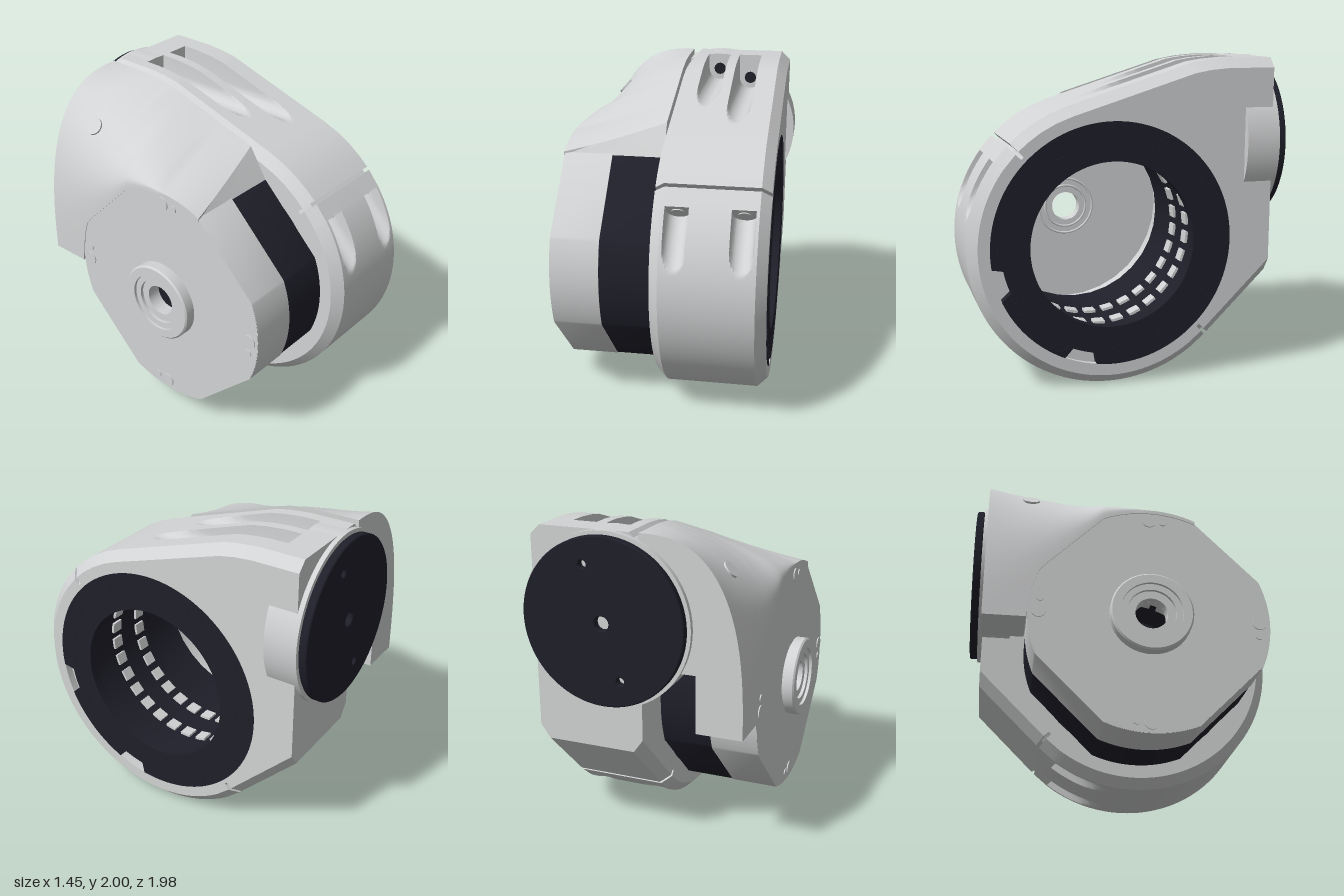
import * as THREE from 'three';
import { toCreasedNormals } from 'three/addons/utils/BufferGeometryUtils.js';

const CY = 0.888, CZ = 0.107;            // axis of the round drive
const R = 0.884;                         // housing radius
const FX = 0.19, FY = 1.47;              // axis of the rear flange
const rad = THREE.MathUtils.degToRad;

const material = (name, color) =>
  Object.assign(new THREE.MeshStandardMaterial({ color, side: THREE.DoubleSide }), { name });

export function createModel() {
  const root = new THREE.Group();
  root.name = 'rotaryJoint';
  const casing = material('casingGrey', 0xd2d3d4);
  const dark = material('darkAnodised', 0x1f1f2a);

  const add = (name, geo, mat, x = 0, y = 0, z = 0) => {
    const m = new THREE.Mesh(geo, mat);
    m.name = name;
    m.position.set(x, y, z);
    root.add(m);
    return m;
  };

  // Skin a row of closed rings; capped ends are triangulated in the x-y plane
  function loft(rings, capped) {
    const n = rings[0].length, idx = [];
    for (let i = 0; i < rings.length - 1; i++) for (let j = 0; j < n; j++) {
      const a = i * n + j, b = i * n + (j + 1) % n;
      idx.push(a, b, a + n, b, b + n, a + n);
    }
    if (capped) [0, rings.length - 1].forEach((r, end) => {
      const flat = rings[r].map(p => new THREE.Vector2(p[0], p[1]));
      for (const [a, b, c] of THREE.ShapeUtils.triangulateShape(flat, [])) {
        const o = r * n;
        idx.push(o + a, o + (end ? c : b), o + (end ? b : c));
      }
    });
    const g = new THREE.BufferGeometry();
    g.setAttribute('position', new THREE.Float32BufferAttribute(rings.flat(2), 3));
    g.setIndex(idx);
    return toCreasedNormals(g, 0.5);
  }

  // Shapes drawn with X = -z are turned so that their depth runs along +x
  const alongX = (shape, depth, segs = 48) => toCreasedNormals(
    new THREE.ExtrudeGeometry(shape, { depth, bevelEnabled: false, curveSegments: segs }).rotateY(Math.PI / 2), 0.5);
  const hole = (shape, r, x = 0, y = 0) => {
    shape.holes.push(new THREE.Path().absarc(x, y, r, 0, Math.PI * 2, true));
    return shape;
  };
  const rodX = (r, len) => new THREE.CylinderGeometry(r, r, len, 24).rotateZ(Math.PI / 2);

  // ---- Main housing: side profile swept across x, with slots and pockets cut in
  const slots = [[0.19, 0.075, 1.9], [0.405, 0.075, 1.843]];
  const pockets = [[0.13, 0.07, 0.81], [0.52, 0.07, 0.81]];
  const dip = (list, x) => {
    for (const [c, r, top] of list)
      if (Math.abs(x - c) <= r + 1e-6) return top - Math.sqrt(Math.max(0, r * r - (x - c) ** 2));
    return 9;
  };
  const slopeY = (z, r) => CY + (r - 0.301 * (z - CZ)) / 0.954;
  const topY = (z, d = 0) => z <= -0.62 ? 2 - d : z <= -0.5 ? 1.99 - d - (z + 0.5) * 0.083 :
    z < -0.4 ? 1.971 - d - (z + 0.4) * 0.19 : slopeY(z, R - d);

  function profile(x) {
    const d = x < 0.04 ? 0.04 - x : x > 0.61 ? x - 0.61 : 0;
    const r = R - d, floor = dip(slots, x), pf = dip(pockets, x), pts = [];
    pts.push([-0.91, topY(-0.91, d)], [-0.73, topY(-0.73, d)]);
    for (const z of [-0.73, -0.62, -0.5, -0.4]) pts.push([z, Math.min(topY(z, d), floor)]);
    for (let i = 0; i <= 34; i++) {
      const z = -0.37 + i * 0.02;
      pts.push([z, Math.min(topY(z, d), floor)]);
    }
    const polar = (deg, rr, cut) => {
      let n = rr * Math.cos(rad(deg - 45));
      const s = rr * Math.sin(rad(45 - deg));
      if (cut) n = Math.sign(n) * Math.min(Math.abs(n), pf);
      pts.push([CZ + (n + s) * Math.SQRT1_2, CY + (n - s) * Math.SQRT1_2]);
    };
    [72.5, 65, 58, 51.5, 45.8].forEach(a => polar(a, r));
    polar(45.8, r - 0.045); polar(44.2, r - 0.045);          // clamp seam
    polar(44.2, r); polar(36.5, r);
    for (let i = 0; i <= 130; i++) polar(36.5 - i * 163 / 130, r, true);
    polar(-126.5, r); polar(-134.2, r);
    polar(-134.2, r - 0.045); polar(-135.8, r - 0.045);
    polar(-135.8, r);
    pts.push([-0.91, CZ + CY + 0.91 - r * Math.SQRT2]);
    return pts;
  }
  const xs = [-0.02, 0.04, 0.61, 0.67];
  for (const [c, r] of [...slots, ...pockets]) {
    xs.push(c - r - 0.001, c + r + 0.001);
    for (let i = 0; i <= 12; i++) xs.push(c - r * Math.cos(i * Math.PI / 12));
  }
  xs.sort((a, b) => a - b);
  add('mainHousing', loft(xs.map(x => profile(x).map(([z, y]) => [x, y, z]))), casing);
  for (const [x, r] of [[-0.02, 0.69], [0.67, 0.75]]) {
    const s = new THREE.Shape(profile(x).map(([z, y]) => new THREE.Vector2(-z, y)));
    const g = new THREE.ShapeGeometry(hole(s, r, -CZ, CY), 48).rotateY(Math.PI / 2);
    add('housingSide', g, casing, x);
  }
  // Bolts in the top slots and in the clamp pockets
  for (const [x, , y] of slots)
    add('slotBolt', new THREE.CylinderGeometry(0.04, 0.04, 0.008, 12).rotateX(Math.PI / 2), dark, x, y, -0.729);
  for (const [x, , n0] of pockets) for (const n of [n0, -n0]) {
    const s = 0.13, k = Math.SQRT1_2;
    add('clampBolt', new THREE.CylinderGeometry(0.038, 0.038, 0.014, 20).rotateX(rad(135)), casing,
      x, CY + (n - s) * k, CZ + (n + s) * k);
  }

  // ---- Round drive body: circle with four diagonal flats
  const flatted = (r) => {
    const s = new THREE.Shape();
    for (let q = 0; q < 4; q++) s.absarc(0, 0, r, rad(q * 90 - 22.5), rad(q * 90 + 22.5), false);
    s.closePath();
    return s;
  };
  add('motorBand', alongX(hole(flatted(0.742), 0.6), 0.33, 16), dark, -0.34, CY, CZ);
  add('endCap', alongX(hole(flatted(0.747), 0.68), 0.3, 16), casing, -0.64, CY, CZ);
  add('endWall', alongX(hole(flatted(0.745), 0.1), 0.025, 16), casing, -0.642, CY, CZ);

  // Hollow bore with two rows of small teeth
  add('innerBore', new THREE.CylinderGeometry(0.6, 0.6, 0.96, 64, 1, true).rotateZ(Math.PI / 2), dark, 0.14, CY, CZ);
  for (const x of [0.06, 0.3]) for (let i = 0; i < 30; i++) {
    const a = i * Math.PI / 15;
    const b = add('boreTooth', new THREE.BoxGeometry(0.08, 0.02, 0.075), casing,
      x, CY + 0.592 * Math.cos(a), CZ + 0.592 * Math.sin(a));
    b.rotation.x = a;
  }
  // Stepped hub around the through hole
  const hubProfile = [[0.1, -0.6], [0.1, -0.69], [0.15, -0.69], [0.15, -0.71], [0.19, -0.71], [0.19, -0.728],
    [0.245, -0.728], [0.255, -0.718], [0.255, -0.655], [0.23, -0.655], [0.23, -0.64]];
  const hub = new THREE.LatheGeometry(hubProfile.map(p => new THREE.Vector2(...p)), 48).rotateZ(-Math.PI / 2);
  add('hub', toCreasedNormals(hub, 0.5), casing, 0, CY, CZ);
  for (const r of [0.15, 0.2])
    add('innerHubRing', new THREE.TorusGeometry(r, 0.008, 8, 48).rotateY(Math.PI / 2), casing, -0.615, CY, CZ);
  for (let i = 0; i < 4; i++) for (const [off, r] of [[0, 0.045], [0.13, 0.024]]) {
    const a = i * Math.PI / 2 + off;
    add('capBolt', rodX(r, 0.02), casing, -0.639, CY + 0.68 * Math.cos(a), CZ + 0.68 * Math.sin(a));
  }

  // ---- Output ring with two notches and a bolt circle
  const ring = new THREE.Shape();
  for (let a = 0; a < 360; a += 2) {
    const inNotch = (a >= 338 && a <= 350) || (a >= 280 && a <= 292);
    const r = inNotch ? 0.68 : 0.752;
    const x = -r * Math.cos(rad(a)), y = r * Math.sin(rad(a));
    a ? ring.lineTo(x, y) : ring.moveTo(x, y);
  }
  ring.closePath();
  add('outputRing', alongX(hole(ring, 0.512), 0.061), dark, 0.61, CY, CZ);
  add('ringSeat', new THREE.RingGeometry(0.6, 0.76, 64).rotateY(Math.PI / 2), casing, 0.612, CY, CZ);
  for (let i = 0; i < 24; i++) {
    const big = i % 2 === 0, a = i * Math.PI / 12;
    if (!big && i % 4 === 3) continue;
    const y = CY + 0.68 * Math.sin(a), z = CZ + 0.68 * Math.cos(a);
    add('ringBolt', rodX(big ? 0.035 : 0.04, 0.01), dark, 0.668, y, z);
    if (big) add('boltCollar', new THREE.TorusGeometry(0.055, 0.004, 6, 24).rotateY(Math.PI / 2), dark, 0.669, y, z);
  }

  // ---- Rear flange on its boss
  add('flangeBoss', new THREE.CylinderGeometry(0.533, 0.533, 0.21, 64).rotateX(Math.PI / 2), casing, FX, FY, -0.835);
  const disc = hole(new THREE.Shape().absarc(0, 0, 0.505, 0, Math.PI * 2, false), 0.05);
  for (const k of [1, -1]) hole(disc, 0.03, 0.11 * k, 0.34 * k);
  const flange = new THREE.ExtrudeGeometry(disc,
    { depth: 0.04, bevelThickness: 0.006, bevelSize: 0.006, bevelSegments: 1, curveSegments: 48 });
  add('rearFlange', toCreasedNormals(flange, 0.5), dark, FX, FY, -0.985);

  // ---- Curved cover: its outer edge follows the drum's top and rear flat, its rear is a rounded arch
  const BASE = 0.84, X0 = -0.647, X1 = -0.019;
  const drumTop = (z) => {
    const q = Math.abs(z - CZ);
    return q > 0.74 ? BASE : CY + Math.min(Math.sqrt(0.742 ** 2 - q * q), 0.688 * Math.SQRT2 - q);
  };
  const edgeY = (z) => {
    const q = Math.abs(z - CZ);
    return 0.016 + CY + (q < 0.285 ? Math.sqrt(0.742 ** 2 - q * q) : 0.688 * Math.SQRT2 - q);
  };
  const cover = [];
  for (let i = 0; i <= 40; i++) {
    const t = i / 40, zAt = u => THREE.MathUtils.lerp(0.4 - 0.13 * u, -0.91, t);
    const z0 = zAt(0), k = Math.pow(Math.max(0, CZ - z0) / 1.017, 0.6);
    const b = Math.max(BASE, drumTop(z0) - 0.008), side = edgeY(z0);
    const c = Math.max(b, 1.2), xMid = X0 + (X1 - X0) * 0.46;
    const sec = [[X0, b, z0]];
    for (let j = 0; j <= 24; j++) {
      const u = (j / 24) ** 2, z = zAt(u);
      const w = (1 - k) * u + k * Math.pow(1 - Math.pow(1 - u, 2.7), 1 / 2.7);
      sec.push([X0 + (X1 - X0) * u, side + (topY(z) - side) * w, z]);
    }
    sec.push([X1, c, z0], [xMid, c, z0], [xMid, b, z0]);
    cover.push(sec);
  }
  add('cover', loft(cover, true), casing);
  const plug = add('coverPlug', new THREE.CylinderGeometry(0.055, 0.055, 0.016, 24), casing, -0.47, 1.77, -0.64);
  plug.rotation.set(0.05, 0, 0.847);

  return root;
}
